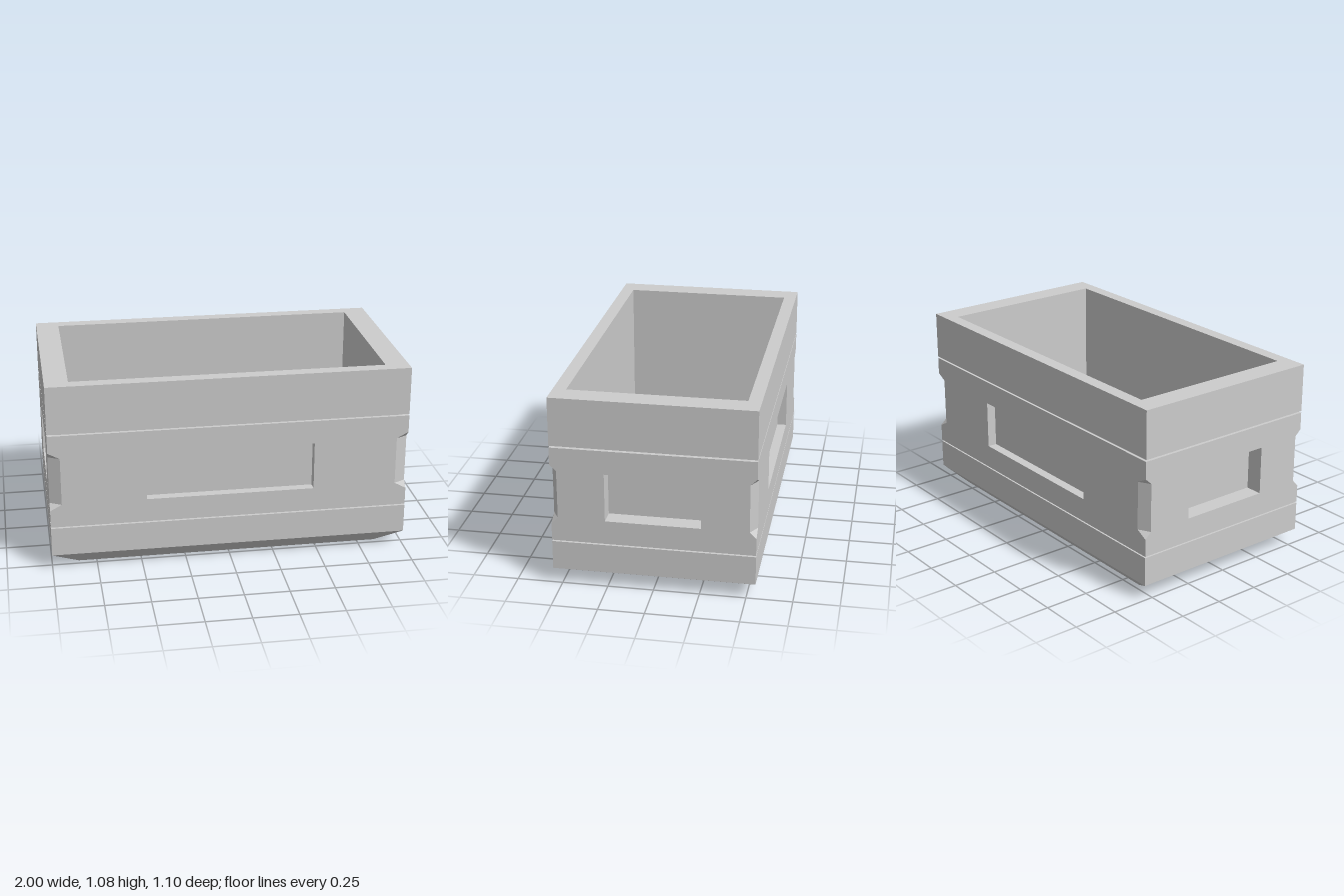
import * as THREE from 'three';

const W = 1, D = 0.55;                 // half width and half depth
const NX = 0.065, NZ = 0.036;          // corner notch cut on each side
const BAND = [0.256, 0.795];           // middle band limits
const NOTCH = [0.355, 0.39, 0.662, 0.697];

// Flat-shaded geometry from convex polygons
function fromPolygons(polygons) {
  const pos = [];
  for (const p of polygons)
    for (let i = 1; i < p.length - 1; i++) pos.push(...p[0], ...p[i], ...p[i + 1]);
  const g = new THREE.BufferGeometry();
  g.setAttribute('position', new THREE.Float32BufferAttribute(pos, 3));
  g.computeVertexNormals();
  return g;
}

// Skin through rectangles given as [half x, half z, y]; rising levels face outward
function loft(levels) {
  const polygons = [];
  const corner = ([x, z, y], i) => [[x, y, z], [x, y, -z], [-x, y, -z], [-x, y, z]][i % 4];
  for (let k = 0; k < levels.length - 1; k++) {
    const [a, b] = [levels[k], levels[k + 1]];
    for (let i = 0; i < 4; i++) {
      const lower = a[0] ? [corner(a, i), corner(a, i + 1)] : [corner(a, i)];
      const upper = b[0] ? [corner(b, i + 1), corner(b, i)] : [corner(b, i)];
      polygons.push([...lower, ...upper]);
    }
  }
  return fromPolygons(polygons);
}

export function createModel() {
  const group = new THREE.Group();
  const grey = new THREE.MeshStandardMaterial({ color: 0xcccccc });
  grey.name = 'lightGrey';
  const add = (name, geometry, parent = group) => {
    const mesh = new THREE.Mesh(geometry, grey);
    mesh.name = name;
    parent.add(mesh);
  };

  // Chamfered base with the lower groove
  add('base', loft([
    [0, 0, 0], [0.85, 0.467, 0], [W, D, 0.085], [W, D, 0.248],
    [0.965, 0.53, 0.248], [0.965, 0.53, BAND[0]], [W, D, BAND[0]],
  ]));

  // Upper groove, rim and open inside
  add('rimAndCavity', loft([
    [W, D, BAND[1]], [0.965, 0.53, BAND[1]], [0.965, 0.53, 0.805], [W, D, 0.805],
    [W, D, 1.075], [0.87, 0.478, 1.075], [0.87, 0.478, 0.08], [0, 0, 0.08],
  ]));

  // Middle band: four panels with notched edges and a sunken rectangle
  const [n0, n1, n2, n3] = NOTCH;
  const cy = (n1 + n2) / 2, hh = (n2 - n1) / 2;
  const panel = (name, half, dist, cut, hw, depth, turn) => {
    const side = new THREE.Group();
    side.name = name;
    side.rotation.y = turn;
    const edge = [[half, BAND[0]], [half, n0], [half - cut, n1], [half - cut, n2], [half, n3], [half, BAND[1]]];
    const outline = [...edge, ...edge.map(([x, y]) => [-x, y]).reverse()];
    const shape = new THREE.Shape(outline.map(([x, y]) => new THREE.Vector2(x, y)));
    shape.holes.push(new THREE.Path([[-hw, n1], [-hw, n2], [hw, n2], [hw, n1]].map(([x, y]) => new THREE.Vector2(x, y))));
    add(name + 'Face', new THREE.ShapeGeometry(shape).translate(0, 0, dist), side);
    const recess = loft([[hw, hh, dist], [hw, hh, dist - depth], [0, 0, dist - depth]]);
    add(name + 'Recess', recess.rotateX(Math.PI / 2).translate(0, cy, 0), side);
    group.add(side);
  };
  panel('frontPanel', W, D, NX, 0.468, 0.053, 0);
  panel('backPanel', W, D, NX, 0.468, 0.053, Math.PI);
  panel('leftPanel', D, W, NZ, 0.258, 0.097, Math.PI / 2);
  panel('rightPanel', D, W, NZ, 0.258, 0.097, -Math.PI / 2);

  // Bevelled notches on the four upright corners
  for (const sx of [-1, 1]) for (const sz of [-1, 1]) {
    const f = (y) => [sx * (W - NX), y, sz * D];
    const s = (y) => [sx * W, y, sz * (D - NZ)];
    const c = (y) => [sx * W, y, sz * D];
    const polygons = [
      [f(n1), s(n1), s(n2), f(n2)],
      [f(n2), s(n2), c(n3)],
      [c(n0), s(n1), f(n1)],
    ];
    if (sx * sz < 0) polygons.forEach((p) => p.reverse());
    add('cornerNotch', fromPolygons(polygons));
  }
  return group;
}
